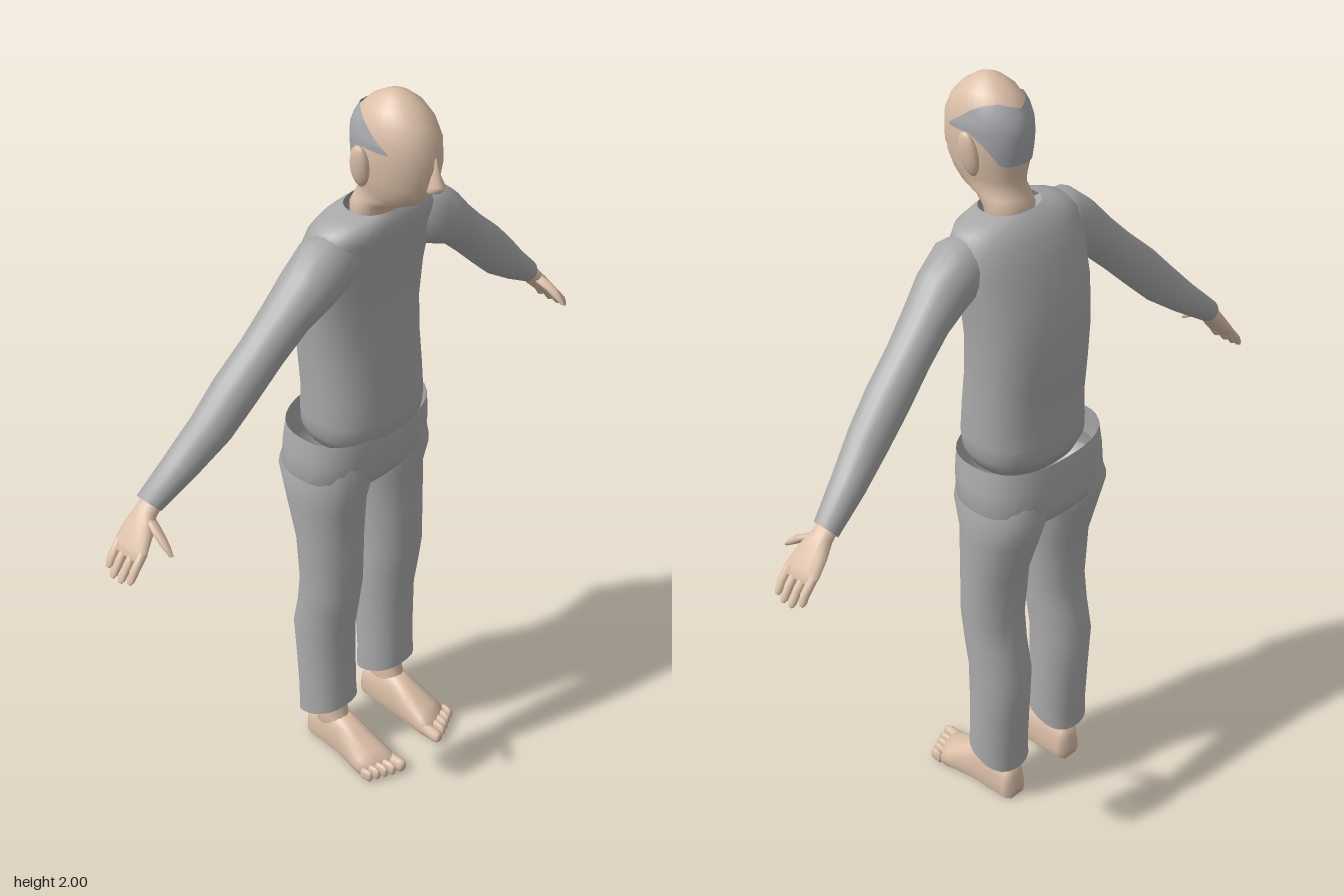
import * as THREE from 'three';

const paint = (name, color) => Object.assign(new THREE.MeshStandardMaterial({ color }), { name });

// Ring = { c: centre, a, b: half-axis vectors, p: roundness exponent }
function loft(rings, n = 20, cap = [true, true]) {
  const pos = [], idx = [];
  const vec = (v) => new THREE.Vector3(...v);
  const bow = (v, p) => Math.sign(v) * Math.abs(v) ** p;
  for (const { c, a, b, p = 1 } of rings) {
    for (let j = 0; j < n; j++) {
      const t = (j / n) * Math.PI * 2, u = bow(Math.cos(t), p), v = bow(Math.sin(t), p);
      for (let k = 0; k < 3; k++) pos.push(c[k] + a[k] * u + b[k] * v);
    }
  }
  // outward winding depends on the handedness of the rings along the path
  const m = Math.floor(rings.length / 2);
  const flip = vec(rings[m].a).cross(vec(rings[m].b)).dot(vec(rings[m].c).sub(vec(rings[m - 1].c))) < 0;
  const tri = (x, y, z) => (flip ? idx.push(x, z, y) : idx.push(x, y, z));
  const last = (rings.length - 1) * n;
  for (let i = 0; i < rings.length - 1; i++) {
    for (let j = 0; j < n; j++) {
      const k = (j + 1) % n, o = i * n;
      tri(o + j, o + k, o + n + k);
      tri(o + j, o + n + k, o + n + j);
    }
  }
  [0, last].forEach((o, e) => {
    if (!cap[e]) return;
    const mid = pos.length / 3;
    pos.push(...rings[e ? rings.length - 1 : 0].c);
    for (let j = 0; j < n; j++) {
      const k = (j + 1) % n;
      e ? tri(mid, o + j, o + k) : tri(mid, o + k, o + j);
    }
  });
  const g = new THREE.BufferGeometry();
  g.setAttribute('position', new THREE.Float32BufferAttribute(pos, 3));
  g.setIndex(idx);
  g.computeVertexNormals();
  return g;
}

// Horizontal ring given by front z, back z and half width; tilt raises its front
const level = (y, zf, zb, rx, cx = 0, s = 1, tilt = 0, p = 1) => ({
  c: [s * cx, y, (zf + zb) / 2], a: [s * rx, 0, 0], b: [0, tilt, (zf - zb) / 2], p,
});

// Rings across a path of [x, y, z, thickness, z half width]
function limb(path, s) {
  return path.map(([x, y, z, r, rz], i) => {
    const q = path[Math.max(i - 1, 0)], w = path[Math.min(i + 1, path.length - 1)];
    const l = Math.hypot(w[0] - q[0], w[1] - q[1]);
    return {
      c: [s * x, y, z],
      a: [(s * r * (q[1] - w[1])) / l, (r * (w[0] - q[0])) / l, 0],
      b: [0, 0, rz],
    };
  });
}

// Head profile, bottom to top: y, front z, back z, half width
const HEAD = [
  [1.64, 0.05, -0.05, 0.06], [1.7, 0.062, -0.052, 0.064], [1.725, 0.09, -0.04, 0.063],
  [1.745, 0.14, -0.032, 0.064], [1.77, 0.163, -0.032, 0.07], [1.8, 0.176, -0.038, 0.078],
  [1.85, 0.185, -0.046, 0.083], [1.9, 0.182, -0.046, 0.083], [1.94, 0.163, -0.03, 0.074],
  [1.97, 0.135, -0.002, 0.056], [1.99, 0.105, 0.03, 0.032], [1.998, 0.08, 0.055, 0.012],
];

// Piecewise-linear lookup in a table whose first column ascends
function lookup(table, t) {
  const i = Math.max(1, table.findIndex((r) => r[0] >= t));
  const f = (t - table[i - 1][0]) / (table[i][0] - table[i - 1][0]);
  return table[i].map((v, k) => table[i - 1][k] + (v - table[i - 1][k]) * f);
}

// Thin hair band wrapped round the back of the head: angle, lower y, upper y
function hairBand() {
  const edge = [[0, 1.81, 1.942], [38, 1.81, 1.955], [61, 1.86, 1.95], [80, 1.885, 1.937], [113, 1.884, 1.889]];
  const cols = 40, rows = 6;
  const g = new THREE.PlaneGeometry(1, 1, cols, rows), p = g.attributes.position;
  for (let i = 0; i < p.count; i++) {
    const deg = (p.getX(i) * 226), t = THREE.MathUtils.degToRad(deg);
    const [, lo, hi] = lookup(edge, Math.min(Math.abs(deg), 113));
    const y = lo + (hi - lo) * (p.getY(i) + 0.5);
    const [, zf, zb, rx] = lookup(HEAD, y);
    p.setXYZ(i, -Math.sin(t) * (rx + 0.004), y + 0.002, (zf + zb) / 2 - Math.cos(t) * ((zf - zb) / 2 + 0.004));
  }
  g.computeVertexNormals();
  return g;
}

export function createModel() {
  const model = new THREE.Group();
  model.name = 'standingMan';
  const skin = paint('skin', 0xdcc0a9);
  const shirt = paint('shirt', 0xa8a8a8);
  const pants = paint('pants', 0xababab);
  const hair = paint('hair', 0xa6a8ac);
  pants.side = shirt.side = hair.side = THREE.DoubleSide;
  const add = (name, geo, mat, parent = model) => {
    const mesh = new THREE.Mesh(geo, mat);
    mesh.name = name;
    parent.add(mesh);
    return mesh;
  };

  // Head, nose and hair
  add('head', loft(HEAD.map((r) => level(...r)), 28), skin);
  add('nose', loft([
    level(1.875, 0.186, 0.17, 0.004), level(1.84, 0.194, 0.16, 0.01), level(1.812, 0.21, 0.16, 0.016),
    level(1.797, 0.202, 0.16, 0.019), level(1.785, 0.178, 0.16, 0.01),
  ], 10), skin);
  add('hairBand', hairBand(), hair);

  // Shirt body
  add('shirtBody', loft([
    [1.702, 0.066, -0.058, 0.078], [1.694, 0.07, -0.068, 0.115], [1.678, 0.08, -0.085, 0.16],
    [1.65, 0.082, -0.105, 0.18], [1.6, 0.076, -0.128, 0.184], [1.5, 0.066, -0.162, 0.173],
    [1.4, 0.062, -0.175, 0.165], [1.3, 0.068, -0.172, 0.161], [1.2, 0.08, -0.165, 0.16],
    [1.13, 0.084, -0.167, 0.163], [1.09, 0.081, -0.168, 0.16], [1.05, 0.06, -0.15, 0.14],
  ].map((r) => level(...r, 0, 1, 0, 0.85)), 32, [false, true]), shirt);

  // Seat of the trousers, open at the waist
  add('trouserSeat', loft([
    [1.09, 0.076, -0.195, 0.193], [1.03, 0.077, -0.203, 0.2], [0.97, 0.068, -0.205, 0.203],
    [0.93, 0.045, -0.195, 0.185], [0.905, 0.01, -0.16, 0.12],
  ].map((r) => level(...r, 0, 1, 0, 0.82)), 32, [false, true]), pants);

  for (const s of [1, -1]) {
    const side = new THREE.Group();
    side.name = s > 0 ? 'leftSide' : 'rightSide';
    model.add(side);

    // Ear
    const ear = add('ear', new THREE.SphereGeometry(1, 14, 10), skin, side);
    ear.scale.set(0.015, 0.056, 0.027);
    ear.position.set(s * 0.092, 1.84, 0.042);
    ear.rotation.set(0.1, 0, -s * 0.15);

    // Sleeve, thinning to the wrist
    add('sleeve', loft(limb([
      [0.1, 1.615, 0, 0.06, 0.06], [0.17, 1.598, 0.002, 0.078, 0.072], [0.225, 1.56, 0, 0.07, 0.068],
      [0.285, 1.512, -0.008, 0.056, 0.06], [0.35, 1.45, -0.017, 0.054, 0.055], [0.43, 1.375, -0.028, 0.056, 0.055],
      [0.5, 1.305, -0.037, 0.053, 0.051], [0.58, 1.235, -0.055, 0.042, 0.044], [0.668, 1.165, -0.073, 0.03, 0.034],
    ], s), 18), shirt, side);

    // Hand with four fingers and a thumb
    add('palm', loft(limb([
      [0.64, 1.185, -0.07, 0.022, 0.026], [0.68, 1.15, -0.071, 0.022, 0.03], [0.705, 1.12, -0.068, 0.021, 0.043],
      [0.735, 1.085, -0.065, 0.016, 0.051], [0.75, 1.066, -0.064, 0.011, 0.048],
    ], s), 14), skin, side);
    [[-0.102, 0.779], [-0.077, 0.789], [-0.05, 0.789], [-0.025, 0.783]].forEach(([z, x]) =>
      add('finger', loft(limb([
        [0.735, 1.085, z, 0.011, 0.011], [0.765, 1.05, z, 0.01, 0.0115],
        [x - 0.006, 1.033 - (x - 0.779), z - 0.001, 0.008, 0.01], [x, 1.026 - (x - 0.779), z - 0.001, 0.003, 0.006],
      ], s), 8), skin, side));
    add('thumb', loft(limb([
      [0.685, 1.145, -0.05, 0.013, 0.016], [0.695, 1.125, -0.015, 0.014, 0.018],
      [0.698, 1.105, 0.01, 0.011, 0.013], [0.7, 1.088, 0.03, 0.005, 0.006],
    ], s), 8), skin, side);

    // Trouser leg with a hem that drops at the back
    add('trouserLeg', loft([
      level(1.02, 0.06, -0.18, 0.085, 0.1, s), level(0.95, 0.062, -0.2, 0.102, 0.104, s),
      level(0.87, 0.04, -0.175, 0.097, 0.106, s), level(0.75, 0.036, -0.138, 0.088, 0.111, s),
      level(0.6, 0.036, -0.128, 0.082, 0.114, s), level(0.52, 0.025, -0.138, 0.08, 0.115, s),
      level(0.43, 0.012, -0.158, 0.078, 0.115, s), level(0.3, 0.01, -0.15, 0.077, 0.114, s),
      level(0.2, 0.01, -0.143, 0.078, 0.114, s, 0.015), level(0.145, 0.008, -0.14, 0.076, 0.114, s, 0.03, 0.85),
    ], 22, [false, false]), pants, side);

    // Ankle, flat-soled foot and toes
    add('ankle', loft([
      [0.05, 0.02, -0.118, 0.038], [0.11, 0.0, -0.112, 0.036], [0.17, -0.015, -0.105, 0.033], [0.32, -0.01, -0.11, 0.04],
    ].map((r) => level(...r, 0.11, s)), 16), skin, side);
    const foot = loft([
      [-0.127, 0.108, 0.028, 0.07], [-0.11, 0.108, 0.039, 0.1], [-0.05, 0.108, 0.042, 0.125], [0, 0.109, 0.043, 0.12],
      [0.05, 0.111, 0.048, 0.09], [0.1, 0.113, 0.054, 0.06], [0.13, 0.113, 0.051, 0.042],
    ].map(([z, x, w, h]) => ({ c: [s * x, h * 0.35, z], a: [s * w, 0, z > 0 ? -z * 0.12 : 0], b: [0, h * 0.65, 0], p: 0.8 })), 18);
    const p = foot.attributes.position;
    for (let i = 0; i < p.count; i++) p.setY(i, Math.max(0, p.getY(i)));
    foot.computeVertexNormals();
    add('foot', foot, skin, side);
    for (let i = 0; i < 5; i++) {
      const x = s * (i ? 0.081 + i * 0.0205 : 0.074), r = i ? 0.0095 : 0.0145, tip = 0.18 - i * 0.0095;
      const toe = [[0.11, 1], [tip - 0.015, 1], [tip - 0.004, 0.85], [tip, 0.5]];
      add('toe', loft(toe.map(([z, k]) => ({
        c: [x, 0.02, z], a: [s * r * k, 0, 0], b: [0, 0.019 * k, 0], p: 0.8,
      })), 10), skin, side);
    }
  }
  return model;
}
